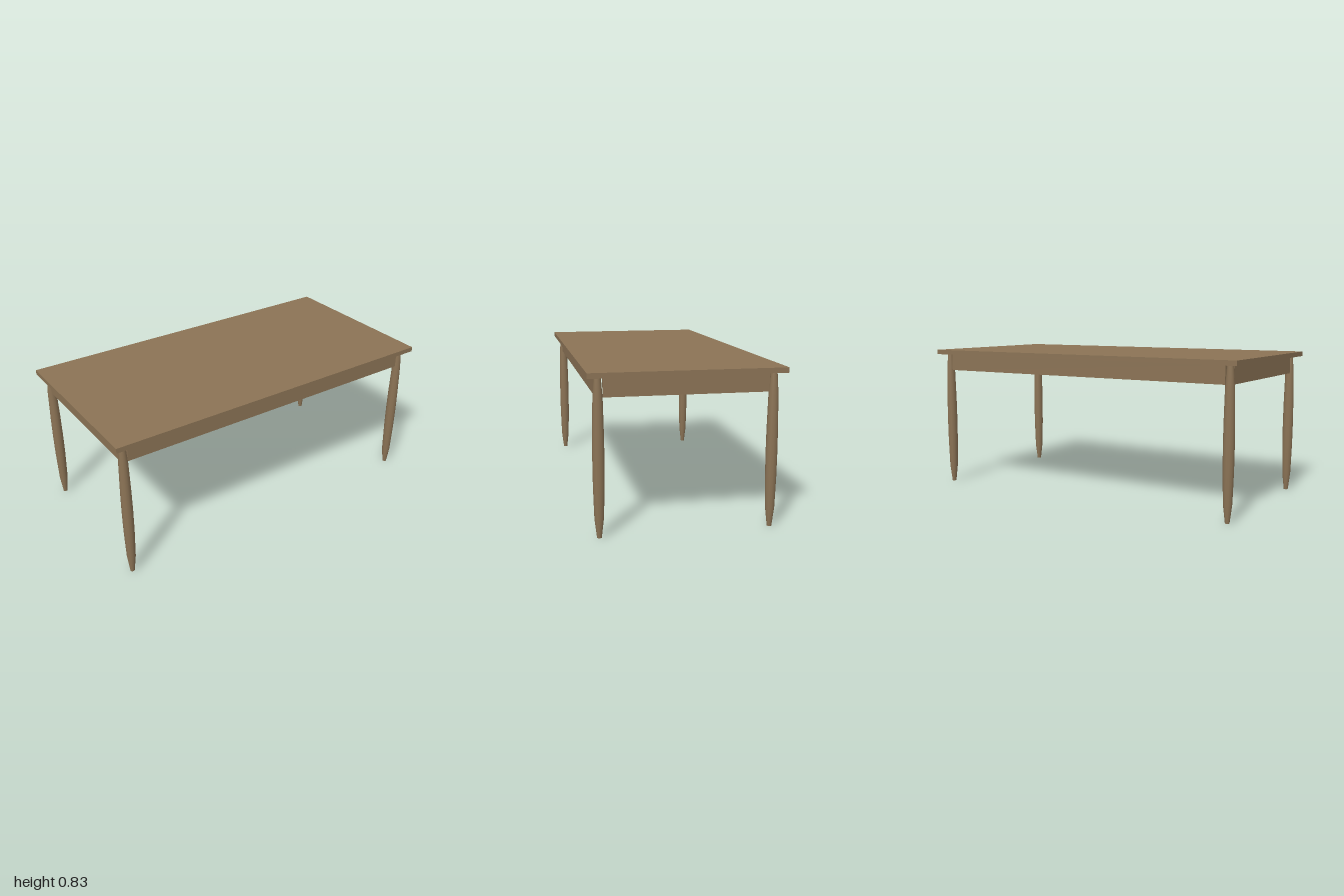
import * as THREE from 'three';

export function createModel() {
  const model = new THREE.Group();
  model.name = 'table';
  const wood = new THREE.MeshStandardMaterial({ color: 0x8b7355 });
  wood.name = 'brown wood';

  function add(name, geometry, x, y, z) {
    const mesh = new THREE.Mesh(geometry, wood);
    mesh.name = name;
    mesh.position.set(x, y, z);
    model.add(mesh);
  }

  // Table top
  add('tableTop', new THREE.BoxGeometry(2, 0.027, 1), 0, 0.8205, 0);

  // Turned legs: narrow foot, full middle, tapered neck (radius, height)
  const profile = [
    [0, 0], [0.012, 0], [0.012, 0], [0.024, 0.1], [0.029, 0.27], [0.03, 0.4],
    [0.029, 0.52], [0.025, 0.7], [0.017, 0.808],
  ].map(([r, y]) => new THREE.Vector2(r, y));
  profile.splice(2, 1);
  const legGeometry = new THREE.LatheGeometry(profile.slice(1), 12);
  const footGeometry = new THREE.CircleGeometry(0.012, 12).rotateX(Math.PI / 2);
  const legX = 0.943, legZ = 0.443;
  for (const sx of [-1, 1]) {
    for (const sz of [-1, 1]) {
      const name = (sz > 0 ? 'front' : 'back') + (sx > 0 ? 'Left' : 'Right');
      add(name + 'Leg', legGeometry, sx * legX, 0, sz * legZ);
      add(name + 'Foot', footGeometry, sx * legX, 0, sz * legZ);
    }
  }

  // Apron boards on the leg centre lines, stopping just short of the legs
  const apronHeight = 0.1, apronY = 0.758, thickness = 0.02;
  const longBoard = new THREE.BoxGeometry(1.84, apronHeight, thickness);
  const shortBoard = new THREE.BoxGeometry(thickness, apronHeight, 0.836);
  for (const s of [-1, 1]) {
    add(s > 0 ? 'frontApron' : 'backApron', longBoard, 0, apronY, s * legZ);
    add(s > 0 ? 'leftApron' : 'rightApron', shortBoard, s * legX, apronY, 0);
  }

  return model;
}
